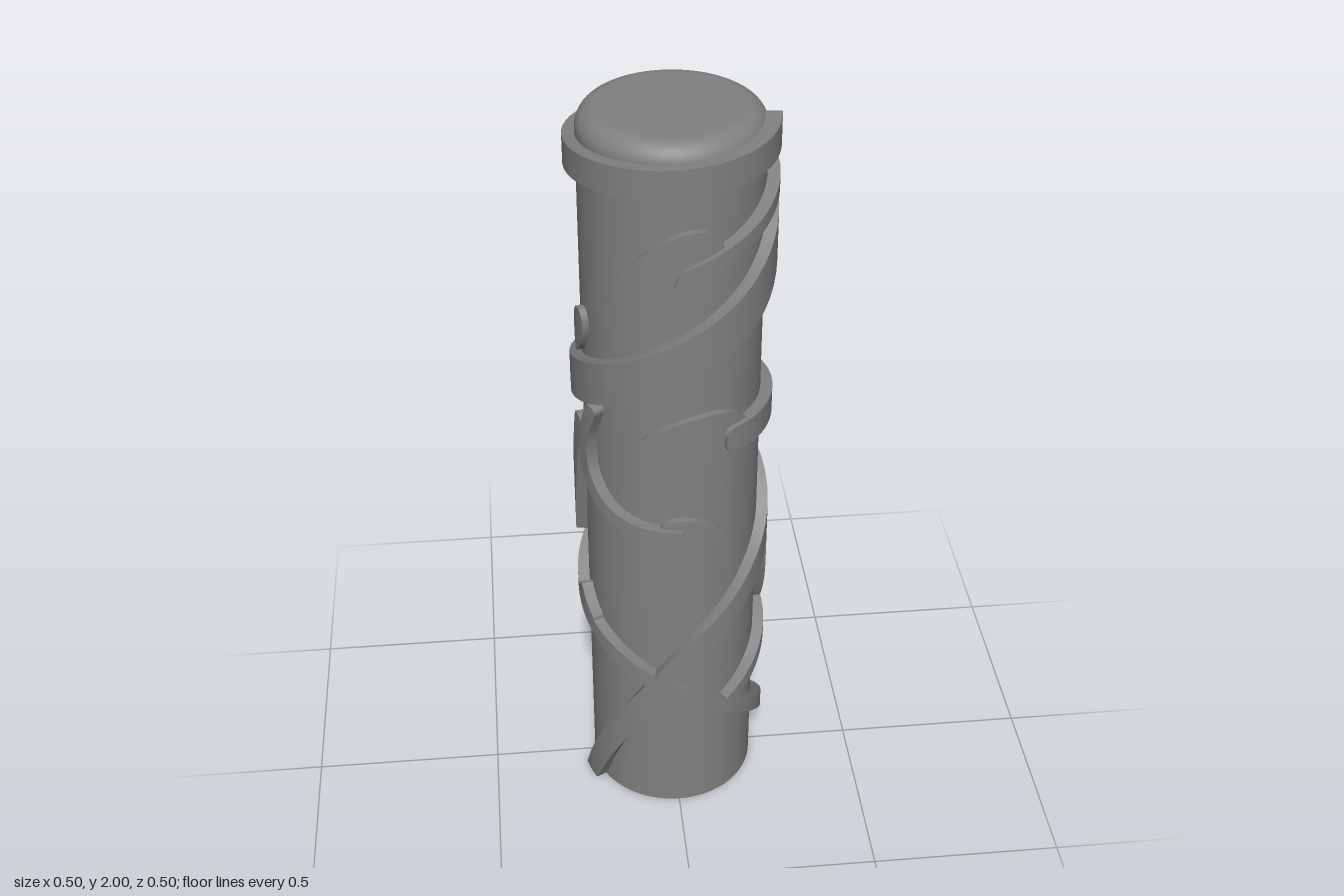
import * as THREE from 'three';

const R = 0.22;        // shaft radius
const VINE = 0.25;     // outer radius of the vines
const LEAF = 0.237;    // outer radius of the leaves
const material = new THREE.MeshStandardMaterial({ color: 0x808080 });

// Raised strip wrapped on the shaft. Points are [degrees from front, height, half width].
function wrappedStrip(name, points, outer, widthAt, steps, across = 6) {
  const path = new THREE.CatmullRomCurve3(points.map(([deg, y, w = 0]) =>
    new THREE.Vector3(THREE.MathUtils.degToRad(deg) * outer, y, w)), false, 'centripetal');
  const length = path.getLength();
  // Cross-section: [side -1..1, radius]; doubled corners keep the edges sharp
  const section = [[-1, R - 0.01], [-1, outer]];
  for (let j = 0; j <= across; j++) section.push([j / across * 2 - 1, outer]);
  section.push([1, outer], [1, R - 0.01]);
  const position = [], index = [], n = section.length;
  for (let i = 0; i <= steps; i++) {
    const t = (1 - Math.cos(Math.PI * i / steps)) / 2;
    const p = path.getPointAt(t), d = path.getTangentAt(t);
    const len = Math.hypot(d.x, d.y);
    const w = i % steps ? widthAt(t, length, p.z) : 0; // both ends close to a point
    for (const [side, r] of section) {
      const a = (p.x + side * w * d.y / len) / outer;
      const y = Math.max(0, p.y - side * w * d.x / len);
      position.push(r * Math.sin(a), y, r * Math.cos(a));
    }
    if (i === steps) continue;
    for (let j = 0; j < n - 1; j++) {
      if (j === 1 || j === n - 3) continue;
      const a = i * n + j;
      index.push(a, a + 1, a + n, a + 1, a + n + 1, a + n);
    }
  }
  const geometry = new THREE.BufferGeometry();
  geometry.setAttribute('position', new THREE.Float32BufferAttribute(position, 3));
  geometry.setIndex(index);
  geometry.computeVertexNormals();
  const mesh = new THREE.Mesh(geometry, material);
  mesh.name = name;
  return mesh;
}

// Vine with blunt ends and rounded corners
const vine = (name, points) => wrappedStrip(name, points, VINE, (t, length, w) => {
  const corner = 0.65 * w;
  const inset = Math.max(0, corner - Math.min(t, 1 - t) * length);
  return w - corner + Math.sqrt(corner ** 2 - inset ** 2);
}, 110);

// Leaf with a round base and a pointed tip
const leaf = (name, base, tip, halfWidth) => wrappedStrip(name, [base, tip], LEAF,
  t => halfWidth * 2.38 * Math.sqrt(t) * Math.pow(1 - t, 0.8), 36, 10);

function createShaft() {
  const shaft = new THREE.Group();
  shaft.name = 'shaft';
  // Side wall and rounded top
  const round = 0.05, profile = [new THREE.Vector2(R, 0), new THREE.Vector2(R, 1.94)];
  for (let i = 0; i <= 10; i++) {
    const a = i / 10 * Math.PI / 2;
    profile.push(new THREE.Vector2(R - round + round * Math.cos(a), 2 - round + round * Math.sin(a)));
  }
  profile.push(new THREE.Vector2(R - round - 0.005, 2), new THREE.Vector2(0, 2));
  const wall = new THREE.Mesh(new THREE.LatheGeometry(profile, 96), material);
  wall.name = 'shaftWall';
  // Underside with a square socket
  const s = 0.07, depth = 0.3;
  const disc = new THREE.Shape().absarc(0, 0, R, 0, Math.PI * 2);
  disc.holes.push(new THREE.Path([[-s, -s], [-s, s], [s, s], [s, -s]].map(p => new THREE.Vector2(...p))));
  const underside = new THREE.Mesh(new THREE.ShapeGeometry(disc, 48).rotateX(Math.PI / 2), material);
  underside.name = 'underside';
  const inside = material.clone();
  inside.side = THREE.BackSide;
  const socket = new THREE.Mesh(new THREE.BoxGeometry(2 * s, depth, 2 * s).translate(0, depth / 2, 0), inside);
  socket.name = 'socket';
  shaft.add(wall, underside, socket);
  return shaft;
}

export function createModel() {
  const model = new THREE.Group();
  model.name = 'vineColumn';
  model.add(createShaft());

  // Main vines
  model.add(
    vine('topVine', [[90, 1.945, 0.036], [45, 1.935, 0.036], [0, 1.925, 0.036], [-45, 1.915, 0.036],
      [-90, 1.9, 0.036], [-135, 1.885, 0.036], [-180, 1.865, 0.038], [-225, 1.85, 0.03], [-270, 1.825, 0.02],
      [-315, 1.76, 0.018], [-343, 1.715, 0.018], [-357, 1.69, 0.018], [-361, 1.655, 0.018]]),
    vine('mainVine', [[160, 1.87, 0.03], [135, 1.815, 0.045], [90, 1.7, 0.055], [45, 1.57, 0.055],
      [0, 1.46, 0.055], [-45, 1.37, 0.055], [-90, 1.3, 0.055], [-135, 1.25, 0.05], [-180, 1.16, 0.042],
      [-225, 1.01, 0.035], [-270, 0.875, 0.032], [-315, 0.71, 0.032], [-360, 0.52, 0.032],
      [-405, 0.22, 0.032], [-435, -0.04, 0.032]]),
    vine('crossVine', [[134, 1.01, 0.018], [155, 0.93, 0.018], [180, 0.835, 0.02], [225, 0.735, 0.02],
      [270, 0.635, 0.02], [315, 0.53, 0.022], [360, 0.42, 0.022], [405, 0.3, 0.022], [450, 0.17, 0.024],
      [490, 0.06, 0.024], [520, -0.04, 0.024]]));

  // Side stems
  model.add(
    vine('waistStem', [[27, 1.215, 0.036], [60, 1.215, 0.036], [90, 1.215, 0.036], [135, 1.205, 0.036],
      [180, 1.2, 0.036], [215, 1.235, 0.03]]),
    vine('upperBackStem', [[122, 1.36, 0.02], [135, 1.34, 0.02], [160, 1.28, 0.02], [190, 1.23, 0.022],
      [220, 1.24, 0.022]]),
    vine('frontStem', [[-57, 1.28, 0.02], [-66, 1.17, 0.02], [-65, 1.08, 0.02], [-50, 1.0, 0.02],
      [-28, 0.96, 0.02], [2, 0.945, 0.02]]),
    vine('lowerBackStem', [[78, 0.86, 0.018], [82, 0.74, 0.018], [90, 0.63, 0.018], [110, 0.46, 0.018],
      [140, 0.33, 0.018], [180, 0.24, 0.02], [204, 0.245, 0.018]]),
    vine('lowerSideStem', [[25, 0.33, 0.018], [45, 0.38, 0.018], [75, 0.45, 0.018], [105, 0.5, 0.018],
      [125, 0.52, 0.02], [131, 0.49, 0.018]]),
    vine('sideStem', [[-72, 1.22, 0.022], [-83, 1.05, 0.024], [-97, 0.8, 0.024]]),
    vine('shortStem', [[-80, 0.66, 0.018], [-73, 0.62, 0.02], [-62, 0.58, 0.018]]));

  // Leaves: base, tip, half width
  const leaves = [
    [[21, 1.775], [-47, 1.515], 0.092],
    [[46, 1.22], [-23, 1.23], 0.075],
    [[-14, 0.955], [28, 0.935], 0.045],
    [[143, 1.33], [104, 1.4], 0.045],
    [[112, 0.54], [171, 0.46], 0.06],
    [[183, 0.265], [236, 0.23], 0.054],
    [[180, 1.13], [221, 0.86], 0.055],
    [[-74, 1.515], [-83, 1.38], 0.035],
  ];
  leaves.forEach(([base, tip, w], i) => model.add(leaf(`leaf${i + 1}`, base, tip, w)));
  return model;
}
